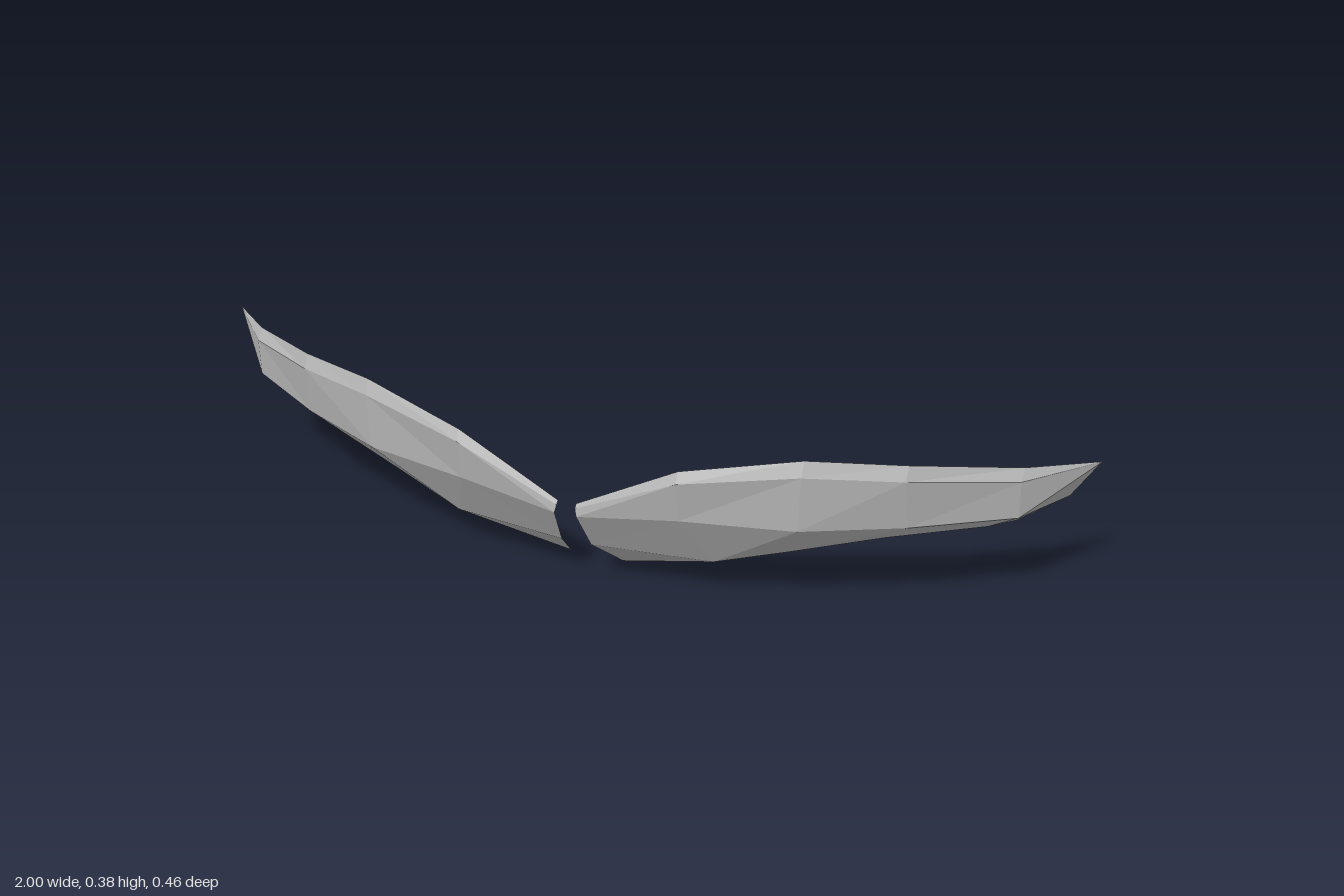
import * as THREE from 'three';

// Cross-sections from the centre outward; each runs from the top rim down to the lower rim.
const sections = [
  [[0.02, 0.215, 0.215], [0.02, 0.207, 0.222], [0.024, 0.19, 0.225], [0.033, 0.095, 0.167], [0.06, 0, 0.055]],
  [[0.24, 0.335, 0.215], [0.24, 0.312, 0.228], [0.24, 0.22, 0.212], [0.29, 0.09, 0.128], [0.29, 0.09, 0.128]],
  [[0.48, 0.377, 0.153], [0.48, 0.345, 0.167], [0.475, 0.22, 0.162], [0.44, 0.122, 0.08], [0.44, 0.122, 0.08]],
  [[0.67, 0.365, 0.072], [0.67, 0.335, 0.087], [0.675, 0.222, 0.067], [0.62, 0.165, 0.025], [0.62, 0.165, 0.025]],
  [[0.87, 0.328, -0.075], [0.87, 0.305, -0.055], [0.87, 0.22, -0.06], [0.805, 0.173, -0.085], [0.805, 0.173, -0.085]],
  [[1, 0.304, -0.204], [1, 0.303, -0.204], [0.94, 0.2, -0.228], [0.845, 0.15, -0.173], [0.845, 0.15, -0.173]],
];

// Faceted open shell; side is 1 for left, -1 for the mirrored right half.
function shellGeometry(side) {
  const positions = [];
  const triangle = (a, b, c) => {
    if (a.join() === b.join() || b.join() === c.join() || a.join() === c.join()) return;
    for (const p of side > 0 ? [a, b, c] : [a, c, b]) positions.push(p[0] * side, p[1], p[2]);
  };
  for (let i = 0; i < sections.length - 1; i++) {
    for (let j = 0; j < sections[i].length - 1; j++) {
      const a = sections[i][j], b = sections[i][j + 1];
      const c = sections[i + 1][j + 1], d = sections[i + 1][j];
      triangle(a, b, d);
      triangle(b, c, d);
    }
  }
  const geometry = new THREE.BufferGeometry();
  geometry.setAttribute('position', new THREE.Float32BufferAttribute(positions, 3));
  geometry.computeVertexNormals();
  return geometry;
}

export function createModel() {
  const group = new THREE.Group();
  group.name = 'curvedPanels';
  const grey = new THREE.MeshStandardMaterial({ color: 0xb4b4b4, flatShading: true, side: THREE.DoubleSide });
  grey.name = 'grey';
  for (const side of [1, -1]) {
    const panel = new THREE.Mesh(shellGeometry(side), grey);
    panel.name = side > 0 ? 'leftPanel' : 'rightPanel';
    group.add(panel);
  }
  return group;
}
